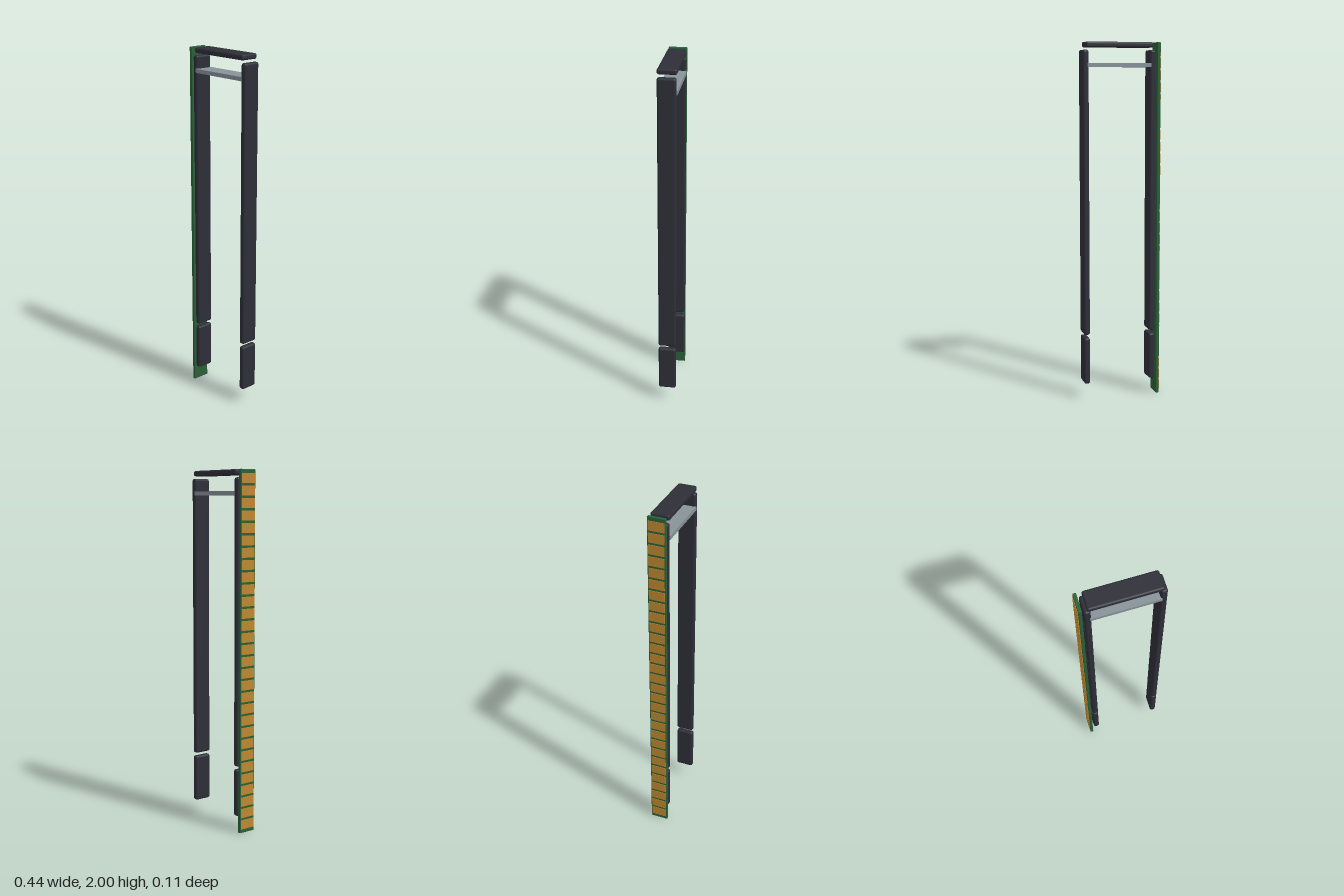
import * as THREE from 'three';
import { RoundedBoxGeometry } from 'three/addons/geometries/RoundedBoxGeometry.js';

const material = (name, color) => {
  const m = new THREE.MeshStandardMaterial({ color });
  m.name = name;
  return m;
};

export function createModel() {
  const model = new THREE.Group();
  model.name = 'frame';
  const charcoal = material('charcoal', 0x2e2e38);
  const green = material('board green', 0x2a6039);
  const gold = material('gold', 0xbe8830);
  const grey = material('steel grey', 0x88929a);

  // Block given by its [min, max] extents; radius 0 keeps sharp edges
  const block = (name, mat, [x0, x1], [y0, y1], depth, radius = 0, parent = model) => {
    const size = [x1 - x0, y1 - y0, depth];
    const geometry = radius
      ? new RoundedBoxGeometry(...size, 3, radius)
      : new THREE.BoxGeometry(...size);
    const mesh = new THREE.Mesh(geometry, mat);
    mesh.name = name;
    mesh.position.set((x0 + x1) / 2, (y0 + y1) / 2, 0);
    parent.add(mesh);
  };

  // Side posts, each split into a long upper and a short lower bar
  for (const [side, x] of [['left', [0.188, 0.222]], ['right', [-0.192, -0.158]]]) {
    block(side + 'UpperPost', charcoal, x, [0.375, 1.957], 0.1, 0.012);
    block(side + 'LowerPost', charcoal, x, [0.09, 0.357], 0.1, 0.012);
  }

  // Top bar and the thin shelf below it
  block('topBar', charcoal, [-0.176, 0.204], [1.97, 2], 0.104, 0.01);
  block('shelf', grey, [-0.165, 0.195], [1.864, 1.886], 0.106);

  // Low pads on the outside of the right post
  const pads = new THREE.Group();
  pads.name = 'pads';
  model.add(pads);
  for (let i = 0; i < 7; i++) {
    const y = 0.28 + i * 0.2395;
    block('pad', charcoal, [-0.197, -0.182], [y - 0.075, y + 0.075], 0.076, 0.005, pads);
  }

  // Circuit strip with a ladder of contacts on its outer face
  block('strip', green, [-0.219, -0.201], [0, 2], 0.1, 0.003);
  const contacts = new THREE.Group();
  contacts.name = 'contacts';
  model.add(contacts);
  const count = 30, pitch = 1.97 / count;
  for (let i = 0; i < count; i++) {
    const y = 0.015 + (i + 0.5) * pitch;
    block('contact', gold, [-0.222, -0.218], [y - 0.0265, y + 0.0265], 0.088, 0, contacts);
  }
  return model;
}
